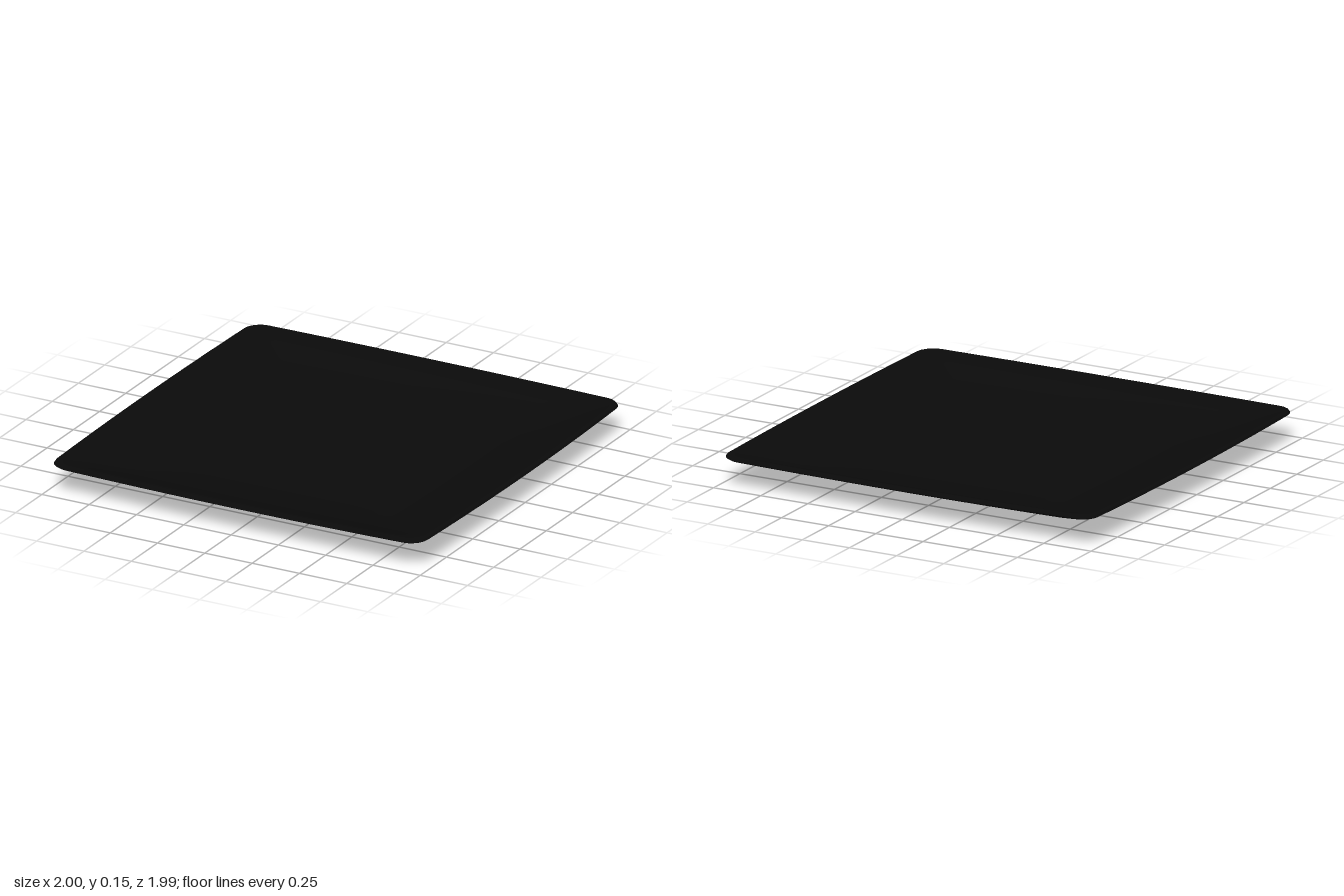
import * as THREE from 'three';
import { toCreasedNormals } from 'three/addons/utils/BufferGeometryUtils.js';

// Cross-section from the underside centre, round the rim, to the inside centre:
// [half width, height, corner lift]
const profile = [
  [0, 0, 0], [0.43, 0, 0], [0.44, 0.004, 0], [0.44, 0.016, 0],
  [0.58, 0.024, 0], [0.68, 0.031, 0], [0.74, 0.041, 0], [0.80, 0.06, 0],
  [0.90, 0.097, 0], [0.99, 0.129, 0.002], [1.0, 0.136, 0.003],
  [0.995, 0.144, 0.004], [0.98, 0.148, 0.004], [0.965, 0.146, 0.004],
  [0.88, 0.117, 0.002], [0.79, 0.086, 0], [0.73, 0.067, 0], [0.67, 0.057, 0],
  [0.58, 0.051, 0], [0.3, 0.046, 0], [0, 0.045, 0],
];

// Unit outline: a square with rounded corners and gently bowed sides
function squareOutline() {
  const half = 0.98, r = 0.08, sideSteps = 10, cornerSteps = 5;
  const points = [];
  for (let q = 0; q < 4; q++) {
    const turn = q * Math.PI / 2;
    const local = [];
    for (let i = 0; i < sideSteps; i++)
      local.push([half, (half - r) * (2 * i / sideSteps - 1)]);
    for (let i = 0; i < cornerSteps; i++) {
      const a = (i / cornerSteps) * Math.PI / 2;
      local.push([half - r + r * Math.cos(a), half - r + r * Math.sin(a)]);
    }
    for (const [u, v] of local) {
      const x = u * Math.cos(turn) - v * Math.sin(turn);
      const z = u * Math.sin(turn) + v * Math.cos(turn);
      points.push([x * (1 + 0.0204 * (1 - z * z)), z * (1 + 0.0204 * (1 - x * x))]);
    }
  }
  return points;
}

// Loft the outline along the cross-section
function plateGeometry() {
  const outline = squareOutline();
  const n = outline.length, positions = [], index = [];
  for (const [s, y, lift] of profile)
    for (const [x, z] of outline)
      positions.push(s * x, y + lift * (x * z) ** 2, s * z * 0.995);
  for (let i = 0; i < profile.length - 1; i++)
    for (let j = 0; j < n; j++) {
      const k = (j + 1) % n;
      const a = i * n + j, b = i * n + k, c = a + n, d = b + n;
      if (profile[i + 1][0] > 0) index.push(a, c, d);
      if (profile[i][0] > 0) index.push(a, d, b);
      else continue;
      if (profile[i + 1][0] === 0) continue;
    }
  const geometry = new THREE.BufferGeometry();
  geometry.setAttribute('position', new THREE.Float32BufferAttribute(positions, 3));
  geometry.setIndex(index);
  return toCreasedNormals(geometry, 0.6);
}

export function createModel() {
  const group = new THREE.Group();
  group.name = 'squarePlate';
  const material = new THREE.MeshStandardMaterial({ color: 0x0a0a0a });
  const plate = new THREE.Mesh(plateGeometry(), material);
  plate.name = 'plate';
  group.add(plate);
  return group;
}
